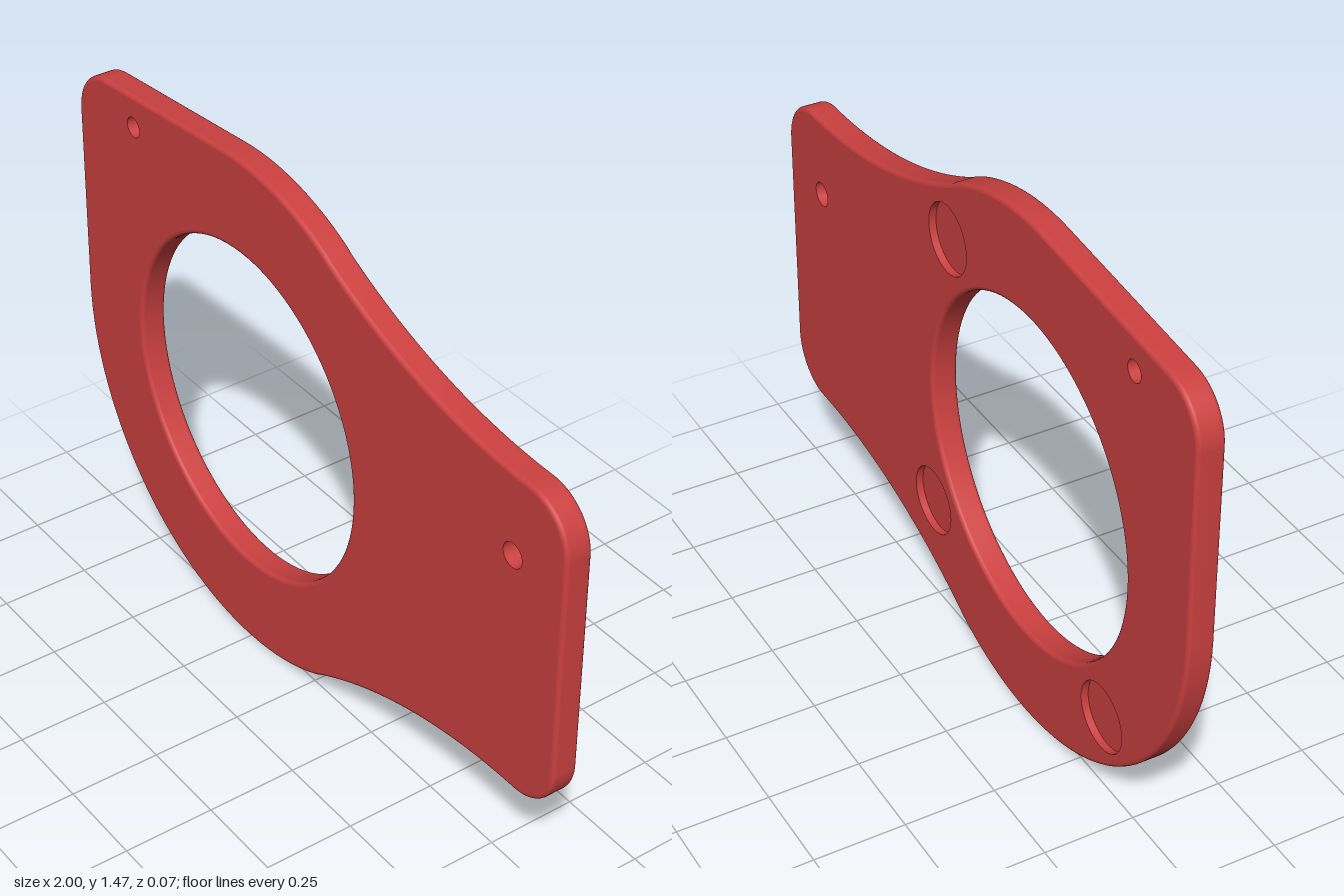
import * as THREE from 'three';

const H = 0.0365;          // half thickness
const FILLET = 0.011;      // edge rounding
const POCKET = 0.02;       // pocket depth
const CX = -0.265, CY = 0.737, R = 0.737;   // ring centre and outer radius

// outline: ring flowing through concave flanks into a rounded mounting tab
function outline() {
  const rc = 1.61, a = 1.075, half = Math.PI / 2, lean = 0.09;
  const s = new THREE.Shape();
  s.absarc(CX, CY, R, Math.PI, 2 * Math.PI - a, false);
  s.absarc(0.85, 0.284 - rc, rc, Math.PI - a, half, true);
  s.absarc(0.86, 0.424, 0.14, -half, 0, false);
  s.absarc(0.86, 1.05, 0.14, 0, half, false);
  s.absarc(0.85, 1.19 + rc, rc, 3 * half, Math.PI + a, true);
  s.absarc(CX, CY, R, a, half + lean, false);
  s.absarc(-0.86, 1.28, 0.14, half + lean, Math.PI, false);
  // drop coincident points where the arcs meet
  const pts = s.getPoints(20);
  return pts.filter((p, i) => p.distanceTo(pts[(i + 1) % pts.length]) > 0.004);
}

// clockwise circle, used for holes
function circle(x, y, r, n) {
  return Array.from({ length: n }, (_, i) => {
    const t = -i / n * Math.PI * 2;
    return new THREE.Vector2(x + r * Math.cos(t), y + r * Math.sin(t));
  });
}

// moves a loop into the material by d
function inset(loop, d) {
  const n = loop.length;
  return loop.map((p, i) => {
    const t = loop[(i + 1) % n].clone().sub(loop[(i + n - 1) % n]).normalize();
    return new THREE.Vector2(p.x - t.y * d, p.y + t.x * d);
  });
}

// flat face with holes
function face(loop, holes, z, back) {
  const shape = new THREE.Shape(loop);
  shape.holes = holes.map(h => new THREE.Path(h));
  const g = new THREE.ShapeGeometry(shape);
  g.translate(0, 0, z);
  if (back) {
    const ix = g.index.array;
    for (let i = 0; i < ix.length; i += 3) [ix[i], ix[i + 1]] = [ix[i + 1], ix[i]];
    g.computeVertexNormals();
  }
  return g;
}

// wall swept around a loop through [inset, z] steps, back to front
function wall(loop, profile) {
  const pos = [], idx = [], n = loop.length;
  for (const [d, z] of profile) for (const p of inset(loop, d)) pos.push(p.x, p.y, z);
  for (let k = 0; k < profile.length - 1; k++) {
    for (let i = 0; i < n; i++) {
      const a = k * n + i, b = k * n + (i + 1) % n;
      idx.push(a, b, b + n, a, b + n, a + n);
    }
  }
  const g = new THREE.BufferGeometry();
  g.setAttribute('position', new THREE.Float32BufferAttribute(pos, 3));
  g.setIndex(idx);
  g.computeVertexNormals();
  return g;
}

export function createModel() {
  const group = new THREE.Group();
  group.name = 'mountingPlate';
  const material = new THREE.MeshStandardMaterial({ color: 0xcc4040 });
  const add = (name, geometry) => {
    const m = new THREE.Mesh(geometry, material);
    m.name = name;
    group.add(m);
  };

  // quarter-round at both edges of a wall
  const rounded = [];
  for (let i = 0; i <= 4; i++) {
    const t = i / 4 * Math.PI / 2;
    rounded.push([FILLET * (1 - Math.sin(t)), -H + FILLET * (1 - Math.cos(t))]);
  }
  rounded.push(...rounded.map(([d, z]) => [d, -z]).reverse());
  const straight = [[0, -H], [0, H]];

  const rim = outline();
  const bore = circle(CX, CY, 0.471, 96);
  const screwHoles = [circle(-0.738, 1.342, 0.028, 32), circle(0.815, 0.965, 0.034, 32)];
  // three pockets on the back, a quarter turn apart around the bore
  const pockets = [51, -39, -129].map(deg => {
    const t = THREE.MathUtils.degToRad(deg);
    return circle(CX + 0.608 * Math.cos(t), CY + 0.608 * Math.sin(t), 0.095, 48);
  });

  const rimFace = inset(rim, FILLET);
  const through = [inset(bore, FILLET), ...screwHoles];
  add('frontFace', face(rimFace, through, H, false));
  add('backFace', face(rimFace, [...through, ...pockets], -H, true));
  add('outerEdge', wall(rim, rounded));
  add('boreWall', wall(bore, rounded));
  screwHoles.forEach(h => add('screwHoleWall', wall(h, straight)));
  pockets.forEach(p => {
    add('pocketWall', wall(p, [[0, -H], [0, -H + POCKET]]));
    add('pocketFloor', face(p, [], -H + POCKET, true));
  });
  return group;
}
